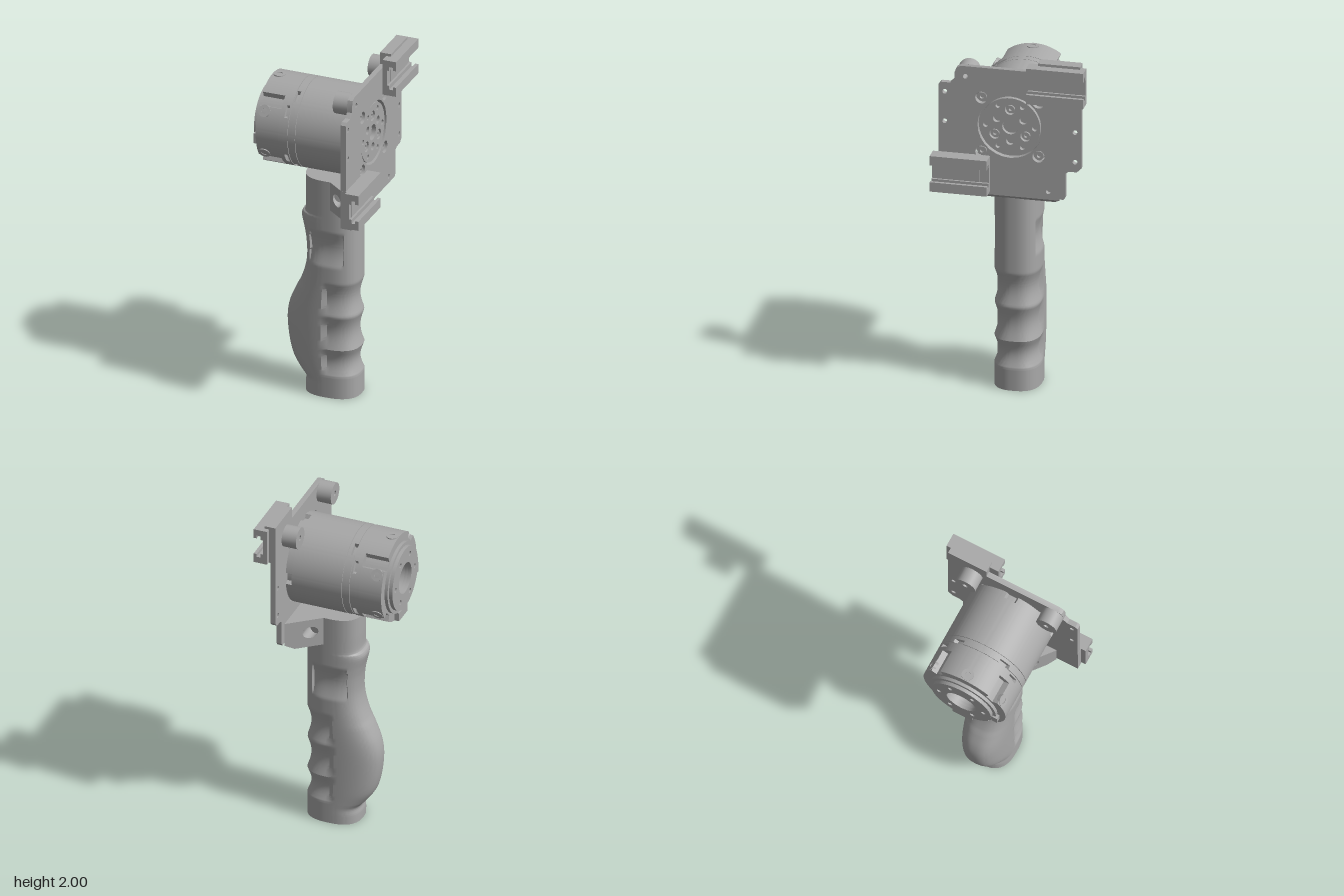
import * as THREE from 'three';
import { toCreasedNormals } from 'three/addons/utils/BufferGeometryUtils.js';

const AXIS_Y = 1.593; // height of the motor axis

export function createModel() {
  const model = new THREE.Group();
  model.name = 'handheldMotorUnit';
  const grey = new THREE.MeshStandardMaterial({ color: 0xa8a8a8 });
  grey.name = 'grey metal';

  const add = (name, geometry, parent = model) => {
    const mesh = new THREE.Mesh(toCreasedNormals(geometry, 0.5), grey);
    mesh.name = name;
    parent.add(mesh);
    return mesh;
  };
  const group = (name) => {
    const g = new THREE.Group();
    g.name = name;
    model.add(g);
    return g;
  };
  const polygon = (pts) => new THREE.Shape(pts.map(([x, y]) => new THREE.Vector2(x, y)));
  const punch = (shape, x, y, r) => {
    shape.holes.push(new THREE.Path().absarc(x, y, r, 0, Math.PI * 2, true));
    return shape;
  };
  const extrude = (shape, depth) =>
    new THREE.ExtrudeGeometry(shape, { depth, bevelEnabled: false, curveSegments: 14 });
  // Extrudes along x; the shape is drawn in (-z, y)
  const alongX = (shape, x0, x1, y = 0) =>
    extrude(shape, x1 - x0).rotateY(Math.PI / 2).translate(x0, y, 0);
  // Disc outline with shallow notches at the given angles (degrees)
  const disc = (r, angles = [], half = 6, depth = 0.025) => {
    const pts = [];
    for (let a = 0; a < 360; a += 2) {
      const cut = angles.some((n) => Math.abs(((a - n + 540) % 360) - 180) <= half);
      const q = cut ? r - depth : r;
      pts.push([q * Math.cos(a * Math.PI / 180), q * Math.sin(a * Math.PI / 180)]);
    }
    return polygon(pts);
  };
  const polar = (r, deg) => [r * Math.cos(deg * Math.PI / 180), r * Math.sin(deg * Math.PI / 180)];
  const mirrored = (a) => [a, 180 - a, 180 + a, 360 - a];

  // Grip: lofted hollow handle with palm swell, finger grooves and thumb recesses
  const backEdge = new THREE.SplineCurve([
    [-0.115, 0], [-0.115, 0.05], [-0.112, 0.09], [-0.145, 0.13], [-0.19, 0.2], [-0.216, 0.3],
    [-0.226, 0.42], [-0.212, 0.51], [-0.175, 0.6], [-0.145, 0.66], [-0.118, 0.74], [-0.106, 0.82],
    [-0.11, 0.91], [-0.122, 0.98], [-0.138, 1.05], [-0.132, 1.08], [-0.115, 1.1], [-0.115, 1.2],
    [-0.115, 1.31],
  ].map(([x, y]) => new THREE.Vector2(x, y)));
  const ridges = [0.13, 0.29, 0.49, 0.69];
  const dip = (y, lo, hi) => (y > lo && y < hi ? 0.021 * Math.sin(Math.PI * (y - lo) / (hi - lo)) : 0);
  const fingerDip = (y) => ridges.slice(1).reduce((d, hi, i) => d + dip(y, ridges[i], hi), 0);
  const SIDES = 96;
  const ring = (y, left, right, halfZ, carved) => {
    const pts = [];
    for (let j = 0; j < SIDES; j++) {
      const t = (j / SIDES) * Math.PI * 2, c = Math.cos(t), s = Math.sin(t);
      const px = Math.sign(c) * Math.abs(c) ** 0.78, pz = Math.sign(s) * Math.abs(s) ** 0.78;
      let x = 0.04 + px * (c > 0 ? right - 0.04 : 0.04 - left), z = pz * halfZ;
      if (carved) {
        const d = x > 0.02 ? fingerDip(y) : 0;
        const thumb = x > -0.06 && x < 0.14 ? dip(y, 0.79, 1.0) : 0;
        z *= 1 - (d + thumb) / halfZ;
        x -= d * Math.max(0, px);
      }
      pts.push(x, y, z);
    }
    return pts;
  };
  const inner = (y) => ring(y, -0.085, 0.17, 0.1, false);
  const flat = (y) => ring(y, 0.039, 0.041, 0.001, false);
  const rings = [flat(1.1), inner(1.1), inner(0)];
  for (let i = 0; i <= 150; i++) {
    const p = backEdge.getPoint(i / 150);
    rings.push(ring(p.y, p.x, 0.2, 0.13, true));
  }
  rings.push(flat(1.31));
  const index = [];
  for (let i = 0; i < rings.length - 1; i++) {
    for (let j = 0; j < SIDES; j++) {
      const a = i * SIDES + j, b = i * SIDES + (j + 1) % SIDES;
      index.push(a, a + SIDES, b, b, a + SIDES, b + SIDES);
    }
  }
  const grip = new THREE.BufferGeometry();
  grip.setAttribute('position', new THREE.Float32BufferAttribute(rings.flat(), 3));
  grip.setIndex(index);
  add('grip', grip);

  // Bracket: wedge widening from the grip to the plate, with a cross hole
  const bracketShape = punch(polygon([
    [0.03, 1.14], [0.195, 1.14], [0.24, 1.17], [0.24, 1.31], [0.03, 1.31]]), 0.125, 1.23, 0.035);
  const bracket = extrude(bracketShape, 2).translate(0, 0, -1);
  const bp = bracket.attributes.position;
  for (let i = 0; i < bp.count; i++) {
    bp.setZ(i, Math.sign(bp.getZ(i)) * (0.1 + (bp.getX(i) - 0.03) * 0.81));
  }
  add('gripBracket', bracket);

  // Mounting plate with its bolt holes
  const plate = polygon([
    [-0.4, 1.19], [0.3, 1.19], [0.31, 1.205], [0.31, 1.345], [0.33, 1.36], [0.375, 1.36],
    [0.4, 1.385], [0.4, 1.93], [-0.275, 1.93], [-0.3, 1.918], [-0.31, 1.89], [-0.31, 1.85],
    [-0.335, 1.825], [-0.385, 1.825], [-0.4, 1.81]]);
  punch(plate, 0, AXIS_Y, 0.182);
  [[-0.25, 1.87], [-0.365, 1.77], [-0.365, 1.595], [0.365, 1.595], [0.365, 1.42], [0.215, 1.23]]
    .forEach(([a, y]) => punch(plate, a, y, 0.014));
  const corners = [[-1, -1], [1, -1], [-1, 1], [1, 1]].map(([a, b]) => [a * 0.16, AXIS_Y + b * 0.16]);
  corners.forEach(([a, y]) => punch(plate, a, y, 0.035));
  add('mountingPlate', alongX(plate, 0.24, 0.27));

  // Bolt heads sunk into a hole, each with a socket
  const bolts = group('plateBolts');
  const bolt = (a, y, r) =>
    add('bolt', alongX(punch(new THREE.Shape().absarc(a, y, r, 0, Math.PI * 2), a, y, r * 0.45), 0.235, 0.258), bolts);
  corners.forEach(([a, y]) => bolt(a, y, 0.026));

  // Output hub inside the plate opening
  const hub = punch(disc(0.168), 0, 0, 0.045);
  for (let k = 0; k < 3; k++) {
    const screw = polar(0.1, 90 + k * 120);
    punch(hub, ...screw, 0.03);
    bolt(screw[0], AXIS_Y + screw[1], 0.022);
    punch(hub, ...polar(0.085, 30 + k * 120), 0.023);
  }
  for (let k = 0; k < 6; k++) {
    if (k % 3) punch(hub, ...polar(0.137, k * 60), 0.014);
    else punch(hub, ...polar(0.137, k * 60), 0.015);
  }
  add('outputHub', alongX(hub, 0.235, 0.264, AXIS_Y));

  // Clamp rails and their backing blocks
  const halfRail = [[0.277, 0.105], [0.356, 0.105], [0.356, 0.05], [0.338, 0.05], [0.338, 0.068],
    [0.316, 0.068], [0.316, 0.045], [0.302, 0.045]];
  const railShape = polygon([
    ...halfRail.map(([x, y]) => [x, -y]), ...halfRail.slice().reverse()]);
  for (const [side, y, blockY] of [[-1, 1.88, 1.886], [1, 1.31, 1.299]]) {
    const rail = group(side < 0 ? 'upperRail' : 'lowerRail');
    add('railJaws', extrude(railShape, 0.32).translate(0, y, side * 0.27 - 0.16), rail);
    add('railBlock', new THREE.BoxGeometry(0.064, 0.228, 0.237).translate(0.272, blockY, side * 0.2825), rail);
  }

  // Round bosses behind the plate
  for (const a of [-0.25, 0.25]) {
    const boss = punch(new THREE.Shape().absarc(a, 1.87, 0.062, 0, Math.PI * 2), a, 1.87, 0.016);
    add('plateBoss', alongX(boss, 0.156, 0.24));
  }

  // Motor: stacked slices along the axis, some notched
  const R = 0.253;
  const motor = group('motor');
  const slice = (name, x0, x1, shape) => add(name, alongX(shape, x0, x1, AXIS_Y), motor);
  slice('rearHousing', -0.323, -0.19, punch(disc(R, mirrored(45), 7, 0.035), 0, 0, 0.09));
  slice('rearBand', -0.19, -0.165, disc(R));
  slice('slottedBand', -0.165, -0.145, disc(R, mirrored(34)));
  slice('middleBand', -0.145, -0.136, disc(R));
  slice('seam', -0.136, -0.133, disc(R - 0.006));
  slice('windowBand', -0.133, -0.111, disc(R, mirrored(56)));
  slice('joinBand', -0.111, -0.092, disc(R));
  slice('seam', -0.092, -0.089, disc(R - 0.006));
  slice('mainHousing', -0.089, 0.205, disc(R));
  slice('frontBand', 0.205, 0.24, disc(R, [0, 90, 180, 270], 6));

  // Rear flange and cap with a bore and a ring of holes
  slice('rearFlange', -0.341, -0.323, punch(disc(0.203), 0, 0, 0.09));
  const cap = punch(disc(0.183), 0, 0, 0.09);
  for (let k = 0; k < 6; k++) punch(cap, ...polar(0.137, k * 60), 0.014);
  slice('rearCap', -0.361, -0.341, cap);
  slice('shaftTube', -0.25, -0.185, punch(disc(0.035), 0, 0, 0.016));

  // Radial screw collars around the rear housing
  const collar = new THREE.LatheGeometry(
    [[0.016, 0.235], [0.034, 0.235], [0.034, 0.256], [0.016, 0.256], [0.016, 0.235]]
      .map(([r, y]) => new THREE.Vector2(r, y)), 24);
  for (let k = 0; k < 6; k++) {
    add('screwCollar', collar.clone().rotateX(k * Math.PI / 3).translate(-0.285, AXIS_Y, 0), motor);
  }

  // Small tabs at the rear rim
  add('rearTab', new THREE.BoxGeometry(0.06, 0.05, 0.12).translate(-0.32, 1.372, 0), motor);
  add('sideTab', new THREE.BoxGeometry(0.05, 0.06, 0.03).translate(-0.325, 1.54, 0.2), motor);

  return model;
}
